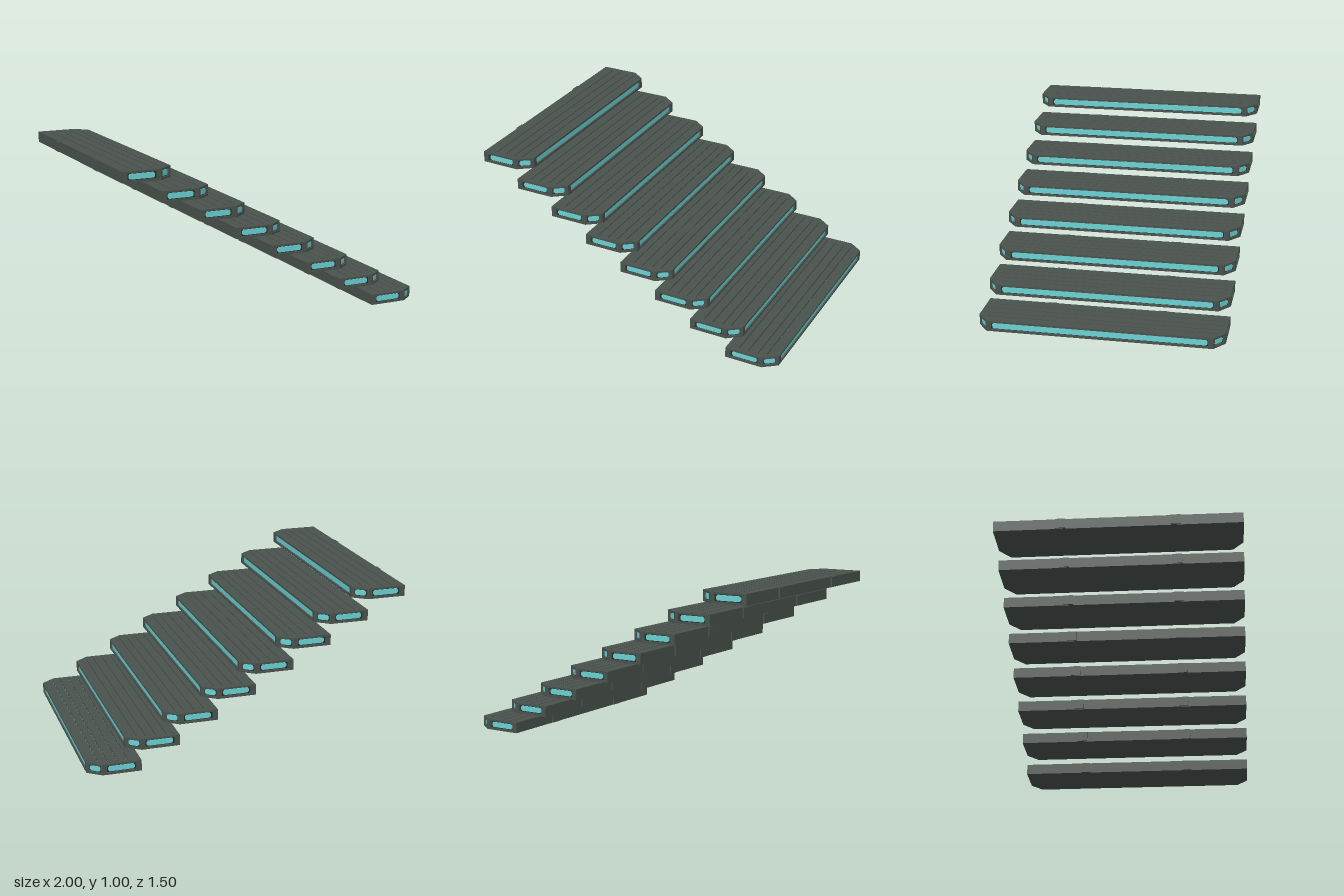
import * as THREE from 'three';

const body = new THREE.MeshStandardMaterial({ color: 0x4a524d });
body.name = 'grey casing';
const dark = new THREE.MeshStandardMaterial({ color: 0x262c2a });
dark.name = 'dark recess';
const glow = new THREE.MeshStandardMaterial({ color: 0x6ad2d4 });
glow.name = 'teal light';

const COUNT = 8, RUN = 0.2381, RISE = 0.1333;
const H = 0.067, LIP = 0.012;
const GROOVES = [[0.086, 0.72], [0.148, 0.72], [0.21, 0.71], [0.262, 0.7]];

function polygon(points) {
  return new THREE.Shape(points.map(([x, z]) => new THREE.Vector2(x, z)));
}

// footprint with two cut corners on the nosing side
function footprint(x0, x1, x2, zCut, zSide) {
  return polygon([[x0, -zSide], [x1, -zSide], [x2, -zCut], [x2, zCut], [x1, zSide], [x0, zSide]]);
}

// upright prism from y0 to y1
function prism(shape, y0, y1) {
  return new THREE.ExtrudeGeometry(shape, { depth: y1 - y0, bevelEnabled: false })
    .rotateX(-Math.PI / 2).translate(0, y0, 0);
}

// thin light panel with clipped corners, facing +z
function panel(w, h) {
  const a = w / 2, b = h / 2, c = 0.009;
  const shape = polygon([[-a + c, -b], [a - c, -b], [a, -b + c], [a, b - c],
    [a - c, b], [-a + c, b], [-a, b - c], [-a, -b + c]]);
  return new THREE.ExtrudeGeometry(shape, { depth: 0.004, bevelEnabled: false });
}

function createStep() {
  const step = new THREE.Group();
  const add = (name, geometry, material, x = 0, y = 0, z = 0, ry = 0) => {
    const mesh = new THREE.Mesh(geometry, material);
    mesh.name = name;
    mesh.position.set(x, y, z);
    mesh.rotation.y = ry;
    step.add(mesh);
  };

  // top plate with slots, base plate and recessed core
  const outline = () => footprint(0.01, 0.248, 0.333, 0.685, 0.75);
  const deck = outline();
  for (const [x, z] of GROOVES) {
    const w = 0.0025;
    deck.holes.push(new THREE.Path([[x - w, -z], [x - w, z], [x + w, z], [x + w, -z]]
      .map(([px, pz]) => new THREE.Vector2(px, pz))));
  }
  add('treadPlate', prism(deck, H - LIP, H), body);
  add('basePlate', prism(outline(), 0, LIP), body);
  add('core', prism(footprint(0.02, 0.2438, 0.321, 0.679, 0.738), LIP, H - LIP), dark);

  // light strips at the bottom of the slots
  for (const [x, z] of GROOVES) {
    add('grooveLight', new THREE.BoxGeometry(0.005, 0.004, z * 2), glow, x, H - LIP + 0.001, 0);
  }

  // back wall and mounting tabs
  add('backWall', new THREE.BoxGeometry(0.032, H - 2 * LIP, 1.5), body, 0.026, H / 2, 0);
  for (const z of [-0.345, 0.345]) {
    add('mountingTab', new THREE.BoxGeometry(0.02, H - 0.004, 0.06), body, 0.01, H / 2, z);
  }

  // corner posts and end lights, mirrored front to back
  for (const s of [1, -1]) {
    const post = (pts) => prism(polygon(pts.map(([x, z]) => [x, z * -s])), LIP, H - LIP);
    add('sidePost', post([[0.222, 0.75], [0.248, 0.75], [0.257, 0.743], [0.24, 0.72], [0.222, 0.72]]), body);
    add('nosePost', post([[0.323, 0.693], [0.333, 0.685], [0.333, 0.655], [0.3, 0.655], [0.3, 0.69]]), body);
    add('sideLight', panel(0.162, 0.033), glow, 0.132, H / 2, s * 0.738, s > 0 ? 0 : Math.PI);
    add('cornerLight', panel(0.068, 0.033), glow, 0.2825, H / 2, s * 0.7085,
      s > 0 ? 0.653 : Math.PI - 0.653);
  }
  add('noseLight', panel(1.3, 0.036), glow, 0.321, H / 2, 0, Math.PI / 2);
  return step;
}

export function createModel() {
  const model = new THREE.Group();
  model.name = 'floatingStairs';
  const step = createStep();
  // steps descend towards +x
  for (let i = 0; i < COUNT; i++) {
    const copy = step.clone();
    copy.name = 'step' + (i + 1);
    copy.position.set(-1 + i * RUN, (COUNT - 1 - i) * RISE, 0);
    model.add(copy);
  }
  return model;
}
